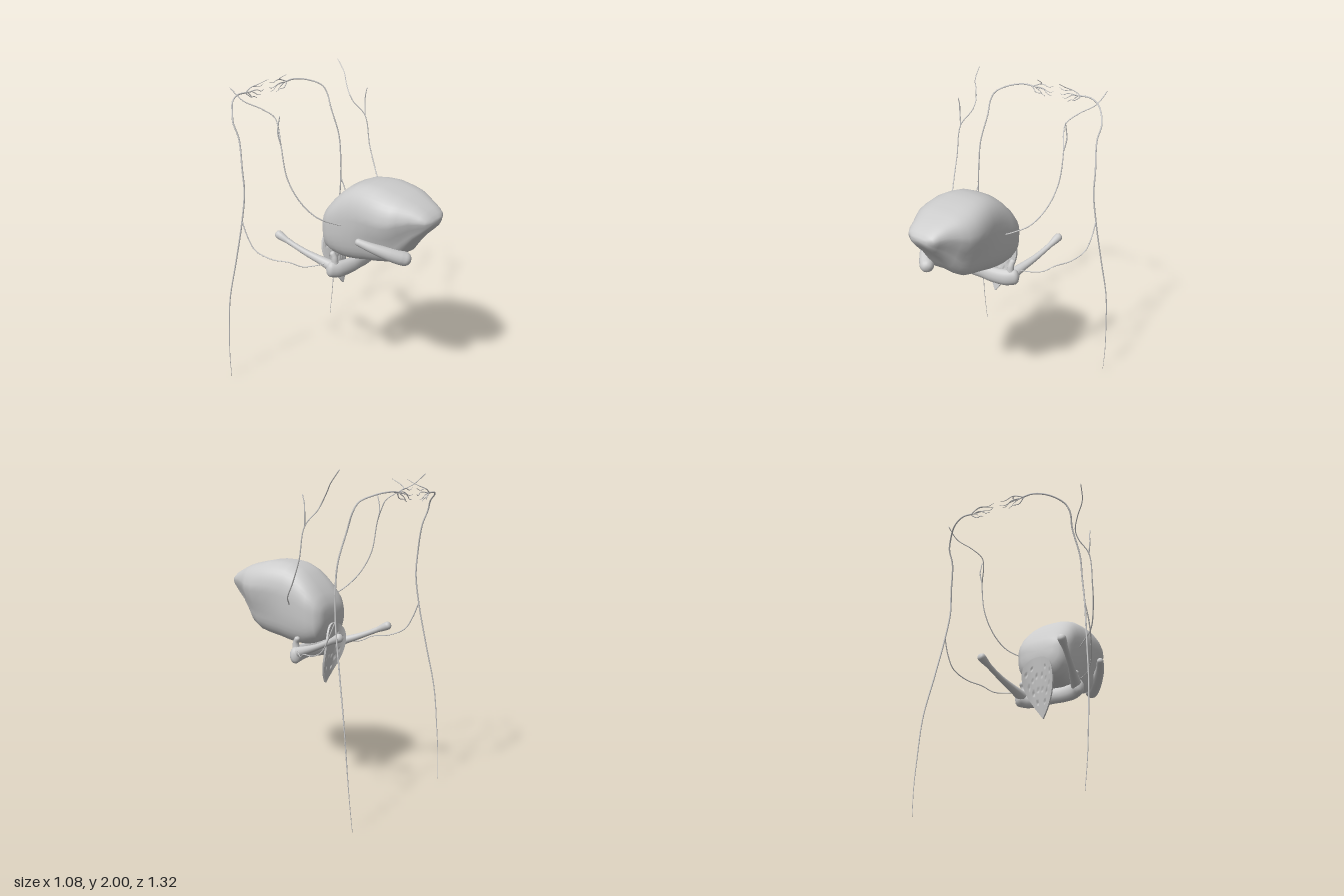
import * as THREE from 'three';
import { mergeVertices } from 'three/addons/utils/BufferGeometryUtils.js';

const grey = new THREE.MeshStandardMaterial({ color: 0xcccccc });
grey.name = 'grey';

const V = (p, s = 1) => new THREE.Vector3(p[0] * s, p[1], p[2]);

function add(parent, name, geometry) {
  const mesh = new THREE.Mesh(geometry, grey);
  mesh.name = name;
  parent.add(mesh);
}

function smooth(geometry) {
  geometry.deleteAttribute('uv');
  geometry.deleteAttribute('normal');
  const g = mergeVertices(geometry, 1e-5);
  g.computeVertexNormals();
  return g;
}

// Tube with round ends along a spline, its radius follows a list of values
function taper(points, radii, { side = 1, steps = 40, sides = 6, sy = 1 } = {}) {
  const curve = new THREE.CatmullRomCurve3(points.map(p => V(p, side)));
  const length = curve.getLength();
  const g = new THREE.TubeGeometry(curve, steps, 1, sides);
  const pos = g.attributes.position, v = new THREE.Vector3();
  for (let i = 0; i <= steps; i++) {
    const u = i / steps, c = curve.getPointAt(u);
    const f = u * (radii.length - 1), k = Math.min(Math.floor(f), radii.length - 2);
    let r = THREE.MathUtils.lerp(radii[k], radii[k + 1], f - k);
    const toEnd = Math.min(u, 1 - u) * length;
    if (toEnd < r) r *= Math.sqrt(1 - (1 - toEnd / r) ** 2);
    for (let j = 0; j <= sides; j++) {
      const n = i * (sides + 1) + j;
      v.fromBufferAttribute(pos, n).sub(c).multiplyScalar(r);
      v.y *= sy;
      pos.setXYZ(n, c.x + v.x, c.y + v.y, c.z + v.z);
    }
  }
  return smooth(g);
}

// Tongue: rounded cross-sections [z, top, bottom, half width, lower width factor]
function tongueGeometry() {
  const sections = [
    [-0.086, 1.17, 1.08, 0.09, 1], [-0.079, 1.21, 1.02, 0.135, 1], [-0.05, 1.265, 0.96, 0.168, 1],
    [0, 1.325, 0.94, 0.188, 0.97], [0.05, 1.375, 0.93, 0.19, 0.96], [0.1, 1.415, 0.93, 0.192, 0.95],
    [0.17, 1.447, 0.94, 0.197, 0.93], [0.24, 1.458, 0.957, 0.207, 0.88], [0.32, 1.46, 0.972, 0.22, 0.82],
    [0.4, 1.445, 0.992, 0.221, 0.78], [0.46, 1.432, 1.03, 0.207, 0.75], [0.5, 1.42, 1.09, 0.182, 0.76],
    [0.56, 1.395, 1.17, 0.143, 0.8], [0.61, 1.37, 1.222, 0.118, 0.85], [0.64, 1.345, 1.257, 0.098, 0.9],
    [0.657, 1.325, 1.285, 0.06, 1],
  ];
  const N = 40, verts = [], index = [];
  const pow = (a, e) => Math.sign(a) * Math.abs(a) ** e;
  for (const [z, top, bottom, hw, low] of sections) {
    const mid = THREE.MathUtils.lerp(bottom, top, 0.6);
    for (let j = 0; j < N; j++) {
      const a = j / N * Math.PI * 2, c = pow(Math.cos(a), 0.66);
      const s = pow(Math.sin(a), Math.sin(a) > 0 ? 0.8 : 0.66);
      const under = Math.max(0, -s);
      const x = c * hw * (1 - (1 - low) * Math.min(1, under * 2));
      // shallow groove along the underside
      const groove = 0.05 * (top - bottom) * under * Math.max(0, 1 - (c / 0.55) ** 2);
      verts.push(x, mid + s * (s > 0 ? top - mid : mid - bottom) + groove, z);
    }
  }
  const last = sections.length - 1;
  for (let i = 0; i < last; i++) for (let j = 0; j < N; j++) {
    const a = i * N + j, b = i * N + (j + 1) % N;
    index.push(a, b, a + N, b, b + N, a + N);
  }
  verts.push(0, 1.125, -0.088, 0, 1.305, 0.661);
  const back = (last + 1) * N;
  for (let j = 0; j < N; j++) {
    const k = (j + 1) % N;
    index.push(back, k, j, back + 1, last * N + j, last * N + k);
  }
  const g = new THREE.BufferGeometry();
  g.setAttribute('position', new THREE.Float32BufferAttribute(verts, 3));
  g.setIndex(index);
  g.computeVertexNormals();
  return g;
}

// Epiglottis: leaf plate bowed backwards at its edges, with small pits in both faces
function epiglottisGeometry() {
  const leaf = new THREE.SplineCurve([[0, 0.002], [0.07, 0.02], [0.2, 0.052], [0.4, 0.09], [0.65, 0.107], [0.85, 0.092],
    [0.96, 0.055], [1, 0.015]].map(p => new THREE.Vector2(...p)));
  const rows = leaf.getPoints(56);
  const pits = [[0.025, 0.79], [0.045, 0.85], [0.015, 0.87], [0.07, 0.89], [0.045, 0.93], [0.02, 0.96], [0.08, 0.97], [0.045, 1.01]];
  const g = new THREE.BoxGeometry(2, 56, 0.014, 40, 56, 1);
  const p = g.attributes.position;
  for (let i = 0; i < p.count; i++) {
    const row = rows[Math.round(p.getY(i) + 28)], t = row.x;
    const x = p.getX(i) * row.y, y = 0.69 + 0.39 * t;
    const pit = pits.some(([px, py]) => Math.hypot((Math.abs(x) - px) / 0.006, (y - py) / 0.01) < 1);
    const z = p.getZ(i) * (pit ? 0.2 : 1);
    p.setXYZ(i, x, y, z - 0.028 - 0.062 * t - 3.3 * x * x);
  }
  g.computeVertexNormals();
  return g;
}

// Nerve paths of one side
const nerves = {
  upperNerve: [[0.18, 1.195, 0.12], [0.22, 1.21, 0.09], [0.31, 1.265, 0.03], [0.365, 1.36, -0.05], [0.395, 1.5, -0.12],
    [0.395, 1.69, -0.16], [0.35, 1.78, -0.22], [0.345, 1.83, -0.25], [0.39, 1.88, -0.31], [0.46, 1.93, -0.385], [0.485, 2, -0.46]],
  upperNerveBranch: [[0.395, 1.69, -0.16], [0.408, 1.77, -0.17], [0.405, 1.82, -0.165], [0.405, 1.87, -0.152]],
  longNerve: [[0.16, 1.875, -0.64], [0.25, 1.88, -0.637], [0.34, 1.865, -0.595], [0.41, 1.825, -0.53], [0.432, 1.77, -0.505],
    [0.427, 1.68, -0.47], [0.455, 1.5, -0.427], [0.46, 1.36, -0.415], [0.48, 1.17, -0.43], [0.507, 0.9, -0.475],
    [0.535, 0.62, -0.525], [0.538, 0.36, -0.55], [0.535, 0.18, -0.565], [0.522, 0, -0.577]],
  lowerNerve: [[0.48, 1.18, -0.43], [0.482, 1.08, -0.385], [0.47, 1, -0.335], [0.43, 0.955, -0.24], [0.38, 0.945, -0.14],
    [0.33, 0.915, -0.08], [0.27, 0.918, -0.02], [0.225, 0.927, 0.02], [0.19, 0.92, 0.06]],
};

// Fine endings of the long nerve
const fibres = [
  [[0.19, 1.875, -0.64], [0.13, 1.9, -0.645], [0.095, 1.92, -0.61], [0.085, 1.957, -0.54]],
  [[0.19, 1.875, -0.64], [0.12, 1.9, -0.65], [0.06, 1.89, -0.645], [0.02, 1.905, -0.64]],
  [[0.18, 1.875, -0.64], [0.1, 1.88, -0.63], [0.05, 1.86, -0.64], [0.02, 1.868, -0.645]],
  [[0.17, 1.875, -0.64], [0.11, 1.865, -0.655], [0.07, 1.84, -0.65], [0.04, 1.838, -0.65]],
  [[0.19, 1.875, -0.64], [0.15, 1.845, -0.63], [0.115, 1.84, -0.64], [0.085, 1.822, -0.645]],
  [[0.17, 1.875, -0.64], [0.14, 1.855, -0.65], [0.12, 1.835, -0.655]],
];

export function createModel() {
  const model = new THREE.Group();
  model.name = 'tongueAnatomy';
  add(model, 'tongue', tongueGeometry());
  add(model, 'epiglottis', epiglottisGeometry());

  // Gland under the tongue, on one side only
  add(model, 'gland', taper([[-0.262, 1.17, 0.275], [-0.22, 1.135, 0.36], [-0.14, 1.085, 0.46], [-0.062, 1.045, 0.535]],
    [0.02, 0.026, 0.033, 0.04, 0.044, 0.042], { sides: 16, steps: 60 }));

  // Horseshoe bone: body, long horns and short horns
  const bone = new THREE.Group();
  bone.name = 'hyoidBone';
  model.add(bone);
  add(bone, 'boneBody', taper([[-0.235, 0.895, 0.03], [-0.17, 0.885, 0.075], [-0.08, 0.885, 0.1], [0, 0.89, 0.105],
    [0.08, 0.885, 0.1], [0.17, 0.885, 0.075], [0.235, 0.895, 0.03]],
    [0.034, 0.036, 0.034, 0.034, 0.034, 0.036, 0.034], { sides: 16, steps: 60, sy: 1.5 }));

  for (const side of [1, -1]) {
    const label = side > 0 ? 'left' : 'right';
    add(bone, label + 'LongHorn', taper([[0.185, 0.89, 0.09], [0.205, 0.92, 0], [0.24, 0.965, -0.13], [0.263, 1.01, -0.24], [0.277, 1.048, -0.325], [0.279, 1.054, -0.34]],
      [0.034, 0.036, 0.031, 0.026, 0.023, 0.02, 0.018, 0.017, 0.018, 0.025, 0.028], { side, sides: 14, steps: 80 }));
    add(bone, label + 'ShortHorn', taper([[0.185, 0.91, 0.06], [0.19, 0.965, 0.06], [0.195, 1.005, 0.04]],
      [0.03, 0.022, 0.018, 0.018], { side, sides: 12, steps: 30 }));

    for (const [name, path] of Object.entries(nerves))
      add(model, label + name[0].toUpperCase() + name.slice(1),
        taper(path, name === 'longNerve' ? [0.005, 0.005, 0.005, 0.0045, 0.0035, 0.0015] : [0.004, 0.004, 0.0035, 0.003],
          { side, steps: path.length * 8 }));
    fibres.forEach((path, i) => add(model, label + 'NerveFibre' + (i + 1),
      taper(path, [0.0035, 0.003, 0.0015], { side, steps: 16, sides: 5 })));
  }
  return model;
}
